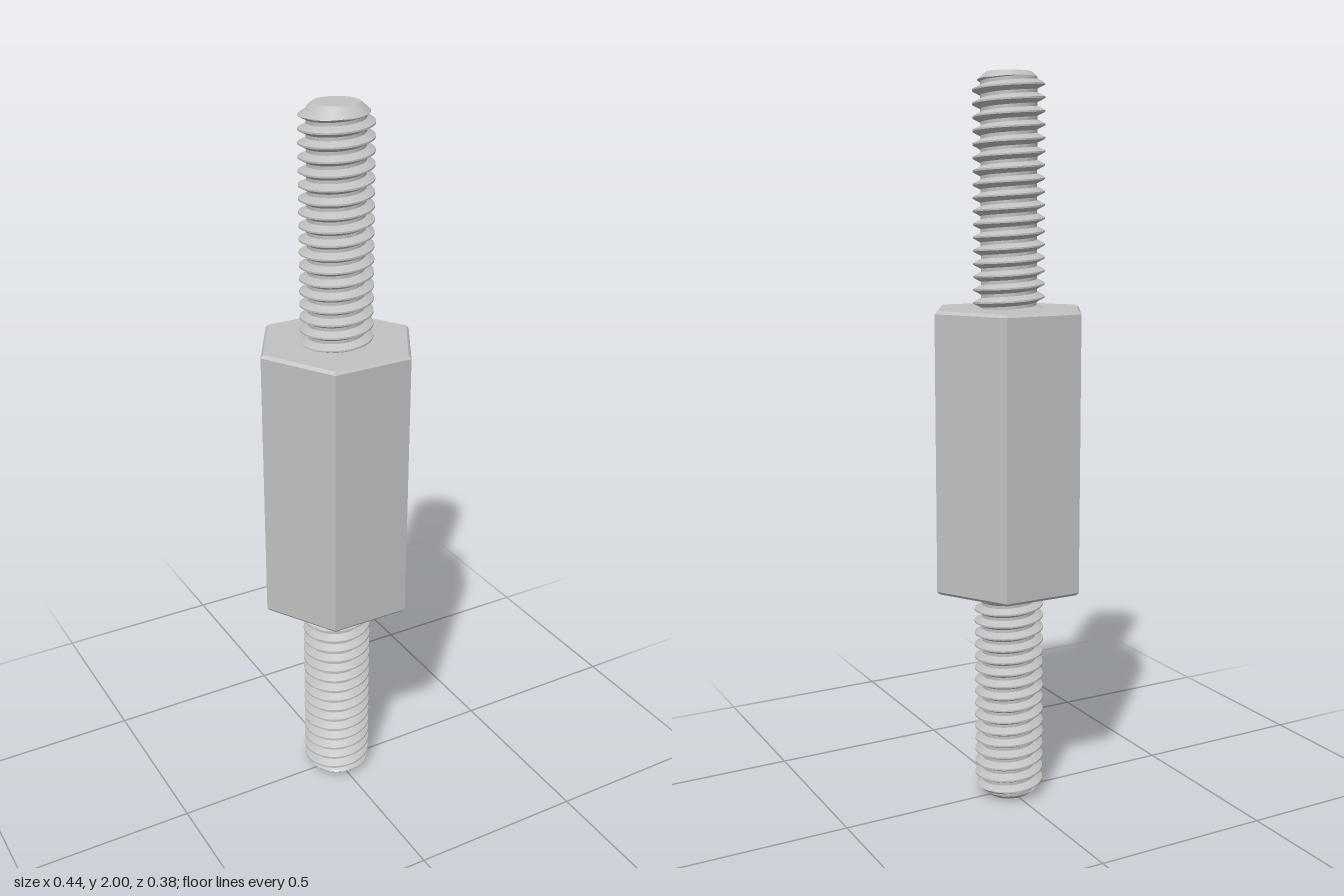
import * as THREE from 'three';
import { toCreasedNormals } from 'three/addons/utils/BufferGeometryUtils.js';

const BODY_BOTTOM = 0.615, BODY_TOP = 1.385, HEX_RADIUS = 0.222;
const CREST = 0.096, ROOT = 0.075, TIP = 0.06, PITCH = 0.0346;

// Radius across one turn: root flat, rising flank, crest flat, falling flank
function threadRadius(t) {
  if (t < 0.25) return ROOT;
  const rise = Math.min((t - 0.25) / 0.3125, (1 - t) / 0.3125, 1);
  return ROOT + (CREST - ROOT) * rise;
}

// Right-hand screw from y = bottom to y = top, with a chamfered, closed tip
function threadGeometry(bottom, top) {
  const around = 48, perTurn = 16;
  const turns = Math.ceil((top - bottom) / PITCH) + 1;
  const point = (row, col) => {
    const a = (col / around) * Math.PI * 2;
    const rise = (row / perTurn - 1 + col / around) * PITCH;
    const y = THREE.MathUtils.clamp(bottom + rise, bottom, top);
    const chamfer = TIP + (top - y) * 1.15;
    const r = Math.min(threadRadius((row % perTurn) / perTurn), chamfer);
    return new THREE.Vector3(Math.cos(a) * r, y, -Math.sin(a) * r);
  };
  const positions = [];
  const triangle = new THREE.Triangle();
  const add = (a, b, c) => {
    if (triangle.set(a, b, c).getArea() < 1e-9) return;
    for (const p of [a, b, c]) positions.push(p.x, p.y, p.z);
  };
  const rows = turns * perTurn;
  const centre = new THREE.Vector3(0, top, 0);
  for (let col = 0; col < around; col++) {
    for (let row = 0; row < rows; row++) {
      const a = point(row, col), b = point(row, col + 1);
      const c = point(row + 1, col + 1), d = point(row + 1, col);
      add(a, b, c);
      add(a, c, d);
    }
    // flat end of the tip
    add(centre, point(rows, col), point(rows, col + 1));
  }
  const geometry = new THREE.BufferGeometry();
  geometry.setAttribute('position', new THREE.Float32BufferAttribute(positions, 3));
  return toCreasedNormals(geometry, 0.6);
}

// Six-sided column with a small bevel at both ends
function bodyGeometry() {
  const bevel = 0.008;
  const profile = [
    [0, BODY_BOTTOM], [HEX_RADIUS - bevel, BODY_BOTTOM], [HEX_RADIUS, BODY_BOTTOM + bevel],
    [HEX_RADIUS, BODY_TOP - bevel], [HEX_RADIUS - bevel, BODY_TOP], [0, BODY_TOP],
  ].map(([x, y]) => new THREE.Vector2(x, y));
  return toCreasedNormals(new THREE.LatheGeometry(profile, 6, Math.PI / 6), 0.2);
}

export function createModel() {
  const model = new THREE.Group();
  model.name = 'threadedStandoff';
  const steel = new THREE.MeshStandardMaterial({ color: 0xc0c0c0 });
  steel.name = 'steel grey';

  const body = new THREE.Mesh(bodyGeometry(), steel);
  body.name = 'hexBody';
  model.add(body);

  const stud = threadGeometry(BODY_TOP - 0.005, 2);
  const upper = new THREE.Mesh(stud, steel);
  upper.name = 'upperThread';
  model.add(upper);

  // Turned end over end, which keeps the thread right-handed
  const lower = new THREE.Mesh(stud, steel);
  lower.name = 'lowerThread';
  lower.rotation.z = Math.PI;
  lower.position.y = 2;
  model.add(lower);

  return model;
}
